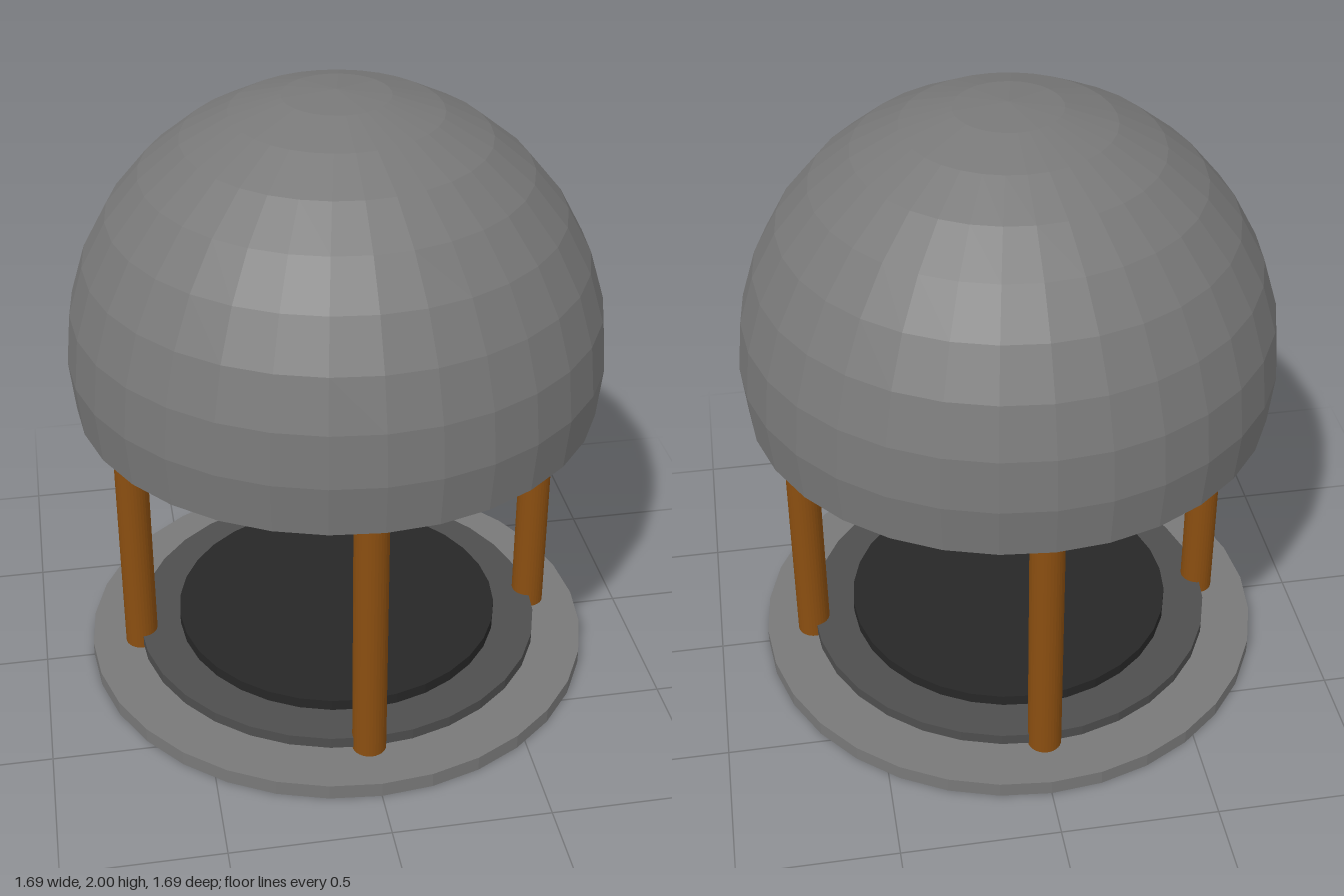
import * as THREE from 'three';

const flat = (name, color) => {
  const m = new THREE.MeshStandardMaterial({ color, flatShading: true });
  m.name = name;
  return m;
};

export function createModel() {
  const group = new THREE.Group();
  const stone = flat('grey stone', 0x787878);
  const darkStone = flat('dark grey stone', 0x4e4e4e);
  const black = flat('charcoal', 0x272727);
  const wood = flat('brown wood', 0x8a4e10);

  const add = (name, geometry, material, x = 0, y = 0, z = 0) => {
    const mesh = new THREE.Mesh(geometry, material);
    mesh.name = name;
    mesh.position.set(x, y, z);
    group.add(mesh);
  };

  // Upright cylinder between two heights
  const cylinder = (name, radius, y0, y1, material, x = 0, z = 0) =>
    add(name, new THREE.CylinderGeometry(radius, radius, y1 - y0, 32), material, x, (y0 + y1) / 2, z);

  // Stepped floor discs, the middle one floating just above the base
  cylinder('baseDisc', 0.84, 0, 0.05, stone);
  cylinder('middleDisc', 0.677, 0.06, 0.097, darkStone);
  cylinder('topDisc', 0.54, 0.097, 0.134, black);

  // Four columns
  const columns = [[0.68, 0], [-0.674, 0], [-0.008, 0.66], [-0.008, -0.66]];
  for (const [x, z] of columns) cylinder('column', 0.054, 0.05, 0.995, wood, x, z);

  // Dome: sphere cut one ring below its equator, closed underneath
  const radius = 0.845;
  const profile = [new THREE.Vector2(0, -radius * Math.sin(Math.PI / 16))];
  for (let i = -1; i <= 8; i++) {
    const a = (i * Math.PI) / 16;
    profile.push(new THREE.Vector2(i === 8 ? 0 : radius * Math.cos(a), radius * Math.sin(a)));
  }
  add('dome', new THREE.LatheGeometry(profile, 32), stone, 0, 2 - radius, 0);

  return group;
}
